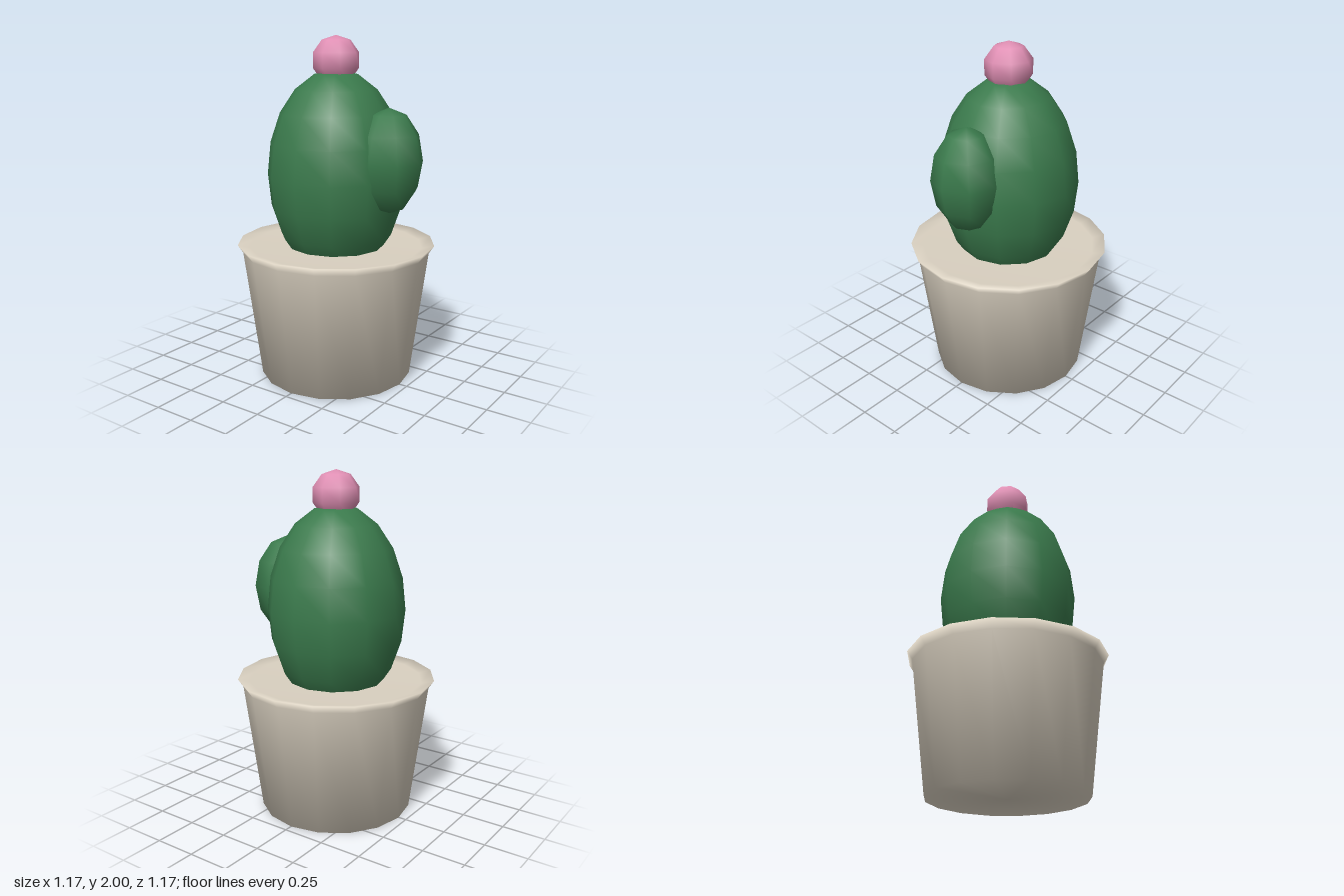
import * as THREE from 'three';

function material(name, color) {
  const m = new THREE.MeshStandardMaterial({ color });
  m.name = name;
  return m;
}

export function createModel() {
  const group = new THREE.Group();
  group.name = 'pottedCactus';
  const clay = material('pale clay', 0xd9d0c0);
  const green = material('cactus green', 0x3a7a4c);
  const pink = material('flower pink', 0xe08fb4);

  // Tapered pot with a flared rim and a filled top, turned from one profile
  const profile = [
    [0, 0], [0.452, 0], [0.552, 0.757], [0.583, 0.803], [0.51, 0.785], [0, 0.785],
  ].map(([r, y]) => new THREE.Vector2(r, y));
  const pot = new THREE.Mesh(new THREE.LatheGeometry(profile, 16), clay);
  pot.name = 'pot';
  group.add(pot);

  // Low-sided ellipsoid helper
  const blob = (name, mat, radius, height, sides, rings, x, y) => {
    const geometry = new THREE.SphereGeometry(radius, sides, rings);
    geometry.scale(1, height / radius, 1);
    const mesh = new THREE.Mesh(geometry, mat);
    mesh.name = name;
    mesh.position.set(x, y, 0);
    group.add(mesh);
  };

  blob('cactusBody', green, 0.403, 0.607, 12, 10, 0, 1.206);
  blob('cactusArm', green, 0.201, 0.299, 8, 6, 0.351, 1.312);
  blob('flower', pink, 0.14, 0.14, 8, 5, 0, 1.86);

  return group;
}
